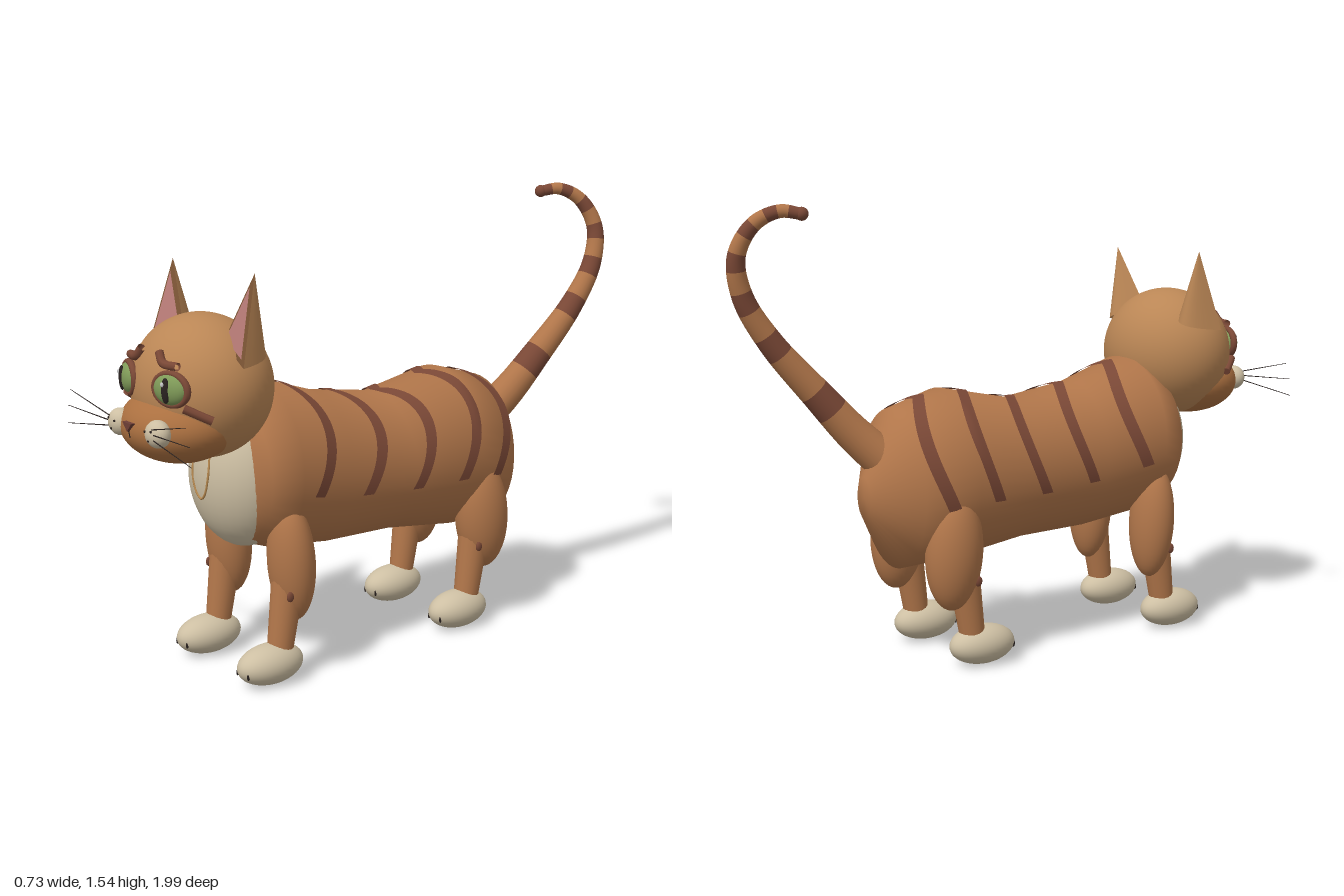
import * as THREE from 'three';

const V = (x, y, z) => new THREE.Vector3(x, y, z);
const mat = (color) => new THREE.MeshStandardMaterial({ color, side: THREE.DoubleSide });
const M = {
  fur: mat(0xb1764a), head: mat(0xba8655), muzzle: mat(0xab7040), stripe: mat(0x7a4836),
  cream: mat(0xcdbfa3), green: mat(0x7f9a58), pink: mat(0xba7d78), dark: mat(0x2a2220),
  earRim: mat(0x7d5535), white: mat(0xffffff), nose: mat(0x6e3f36), tan: mat(0xb88a50),
};

function add(parent, name, geometry, material) {
  const mesh = new THREE.Mesh(geometry, material);
  mesh.name = name;
  parent.add(mesh);
  return mesh;
}

function ellipsoid(parent, name, material, p, r, segs = 32) {
  const mesh = add(parent, name, new THREE.SphereGeometry(1, segs, Math.round(segs * 0.7)), material);
  mesh.position.set(...p);
  mesh.scale.set(...r);
  return mesh;
}

function tube(parent, name, material, points, radius, segs = 12) {
  const curve = new THREE.CatmullRomCurve3(points.map((p) => V(...p)));
  return add(parent, name, new THREE.TubeGeometry(curve, segs, radius, 8), material);
}

// Tapered rod between two points
function rod(parent, name, material, a, b, rA, rB, sides = 16) {
  const from = V(...a), to = V(...b), dir = to.clone().sub(from);
  const mesh = add(parent, name, new THREE.CylinderGeometry(rB, rA, dir.length(), sides), material);
  mesh.position.copy(from).addScaledVector(dir, 0.5);
  mesh.quaternion.setFromUnitVectors(V(0, 1, 0), dir.normalize());
  return mesh;
}

// Skin over cross-sections; rings turn counterclockwise around the direction of travel
function loft(rings, closed = true) {
  const n = rings[0].length, index = [];
  const geometry = new THREE.BufferGeometry().setFromPoints(rings.flat());
  for (let r = 0; r < rings.length - 1; r++) {
    for (let i = 0; i < (closed ? n : n - 1); i++) {
      const a = r * n + i, b = r * n + (i + 1) % n;
      index.push(a, b, b + n, a, b + n, a + n);
    }
  }
  geometry.setIndex(index);
  geometry.computeVertexNormals();
  return geometry;
}

// Torso stations: z, centre y, half width, half height
const STATIONS = [
  [-0.58, 0.58, 0, 0], [-0.58, 0.58, 0.045, 0.07], [-0.47, 0.6, 0.215, 0.27],
  [-0.28, 0.633, 0.25, 0.292], [0, 0.625, 0.235, 0.245], [0.27, 0.648, 0.222, 0.263],
  [0.5, 0.7, 0.26, 0.285], [0.6, 0.69, 0.225, 0.24], [0.65, 0.69, 0.15, 0.17], [0.67, 0.69, 0, 0],
];

function torsoPoint(z, angle, grow = 0) {
  let k = 1;
  while (k < STATIONS.length - 2 && z > STATIONS[k + 1][0]) k++;
  const a = STATIONS[k], b = STATIONS[k + 1];
  const [, cy, rx, ry] = a.map((v, i) => THREE.MathUtils.lerp(v, b[i], (z - a[0]) / (b[0] - a[0])));
  return V(Math.cos(angle) * (rx + grow), cy + Math.sin(angle) * (ry + grow), z);
}

function buildTorso(root) {
  const rings = STATIONS.map(([z, cy, rx, ry]) => Array.from({ length: 40 }, (_, i) => {
    const t = i / 40 * Math.PI * 2;
    return V(Math.cos(t) * rx, cy + Math.sin(t) * ry, z);
  }));
  add(root, 'torso', loft(rings), M.fur);

  // Zigzag stripes laid over back and flanks
  for (const z0 of [0.43, 0.21, 0, -0.2, -0.37]) {
    const rows = [-1, -0.33, 0.33, 1].map((w) => Array.from({ length: 61 }, (_, i) => {
      const s = i / 30 - 1;
      const z = z0 - 0.075 * Math.sin(Math.PI * Math.abs(s)) + w * 0.022;
      return torsoPoint(z, Math.PI / 2 + s * 1.8, 0.005);
    }));
    add(root, 'backStripe', loft(rows, false), M.stripe);
  }

  // Pale chest with a thin fur line
  ellipsoid(root, 'chestBib', M.cream, [0, 0.68, 0.56], [0.195, 0.25, 0.17]);
  const line = [[-0.04, 0.78], [-0.045, 0.7], [-0.025, 0.635], [0, 0.615], [0.025, 0.635], [0.045, 0.7], [0.04, 0.78]];
  tube(root, 'chestLine', M.tan, line.map(([x, y]) =>
    [x, y, 0.56 + 0.17 * Math.sqrt(1 - (x / 0.195) ** 2 - ((y - 0.68) / 0.25) ** 2)]), 0.004, 32);
}

function buildLeg(root, name, s, z, upperZ, upperR, kneeZ) {
  const leg = new THREE.Group();
  leg.name = name;
  root.add(leg);
  ellipsoid(leg, 'upperLeg', M.fur, [s * 0.18, 0.405, upperZ], upperR).rotation.x = 0.06;
  rod(leg, 'lowerLeg', M.fur, [s * 0.18, 0.34, kneeZ], [s * 0.18, 0.08, z - 0.035], 0.055, 0.042);
  ellipsoid(leg, 'paw', M.cream, [s * 0.18, 0.072, z], [0.075, 0.067, 0.122]);
  for (const t of [-1, 1]) {
    ellipsoid(leg, 'toeMark', M.dark, [s * 0.18 + t * 0.03, 0.06, z + 0.108], [0.003, 0.012, 0.006], 8);
  }
  ellipsoid(leg, 'legMark', M.stripe, [s * 0.235, 0.305, upperZ + upperR[2] * 0.6], [0.008, 0.018, 0.014], 10);
}

function buildEar(head, s) {
  const P = (x, y, z) => V(s * x, y, z);
  const inner = P(0.11, 1.14, 0.7), outer = P(0.27, 1.085, 0.735), tip = P(0.23, 1.365, 0.66);
  // Rounded back shell tapering to the tip
  const base = new THREE.QuadraticBezierCurve3(outer, P(0.22, 1.1, 0.5), inner).getPoints(12);
  const rings = [0, 0.33, 0.66, 1].map((k) => base.map((p) => p.clone().lerp(tip, k)));
  add(head, 'earBack', loft(rings, false), M.head);
  const face = [inner, outer, tip];
  const centre = inner.clone().add(outer).add(tip).divideScalar(3);
  const panel = (pts) => {
    const g = new THREE.BufferGeometry().setFromPoints(s > 0 ? pts : [pts[1], pts[0], pts[2]]);
    g.computeVertexNormals();
    return g;
  };
  add(head, 'earRim', panel(face), M.earRim);
  add(head, 'earInside', panel(face.map((p) => p.clone().lerp(centre, 0.24).add(V(0, 0, 0.006)))), M.pink);
}

function buildEye(head, s) {
  const eye = new THREE.Group();
  eye.name = 'eye';
  eye.position.set(s * 0.12, 1.02, 0.9);
  eye.rotation.y = s * 0.3;
  head.add(eye);
  const rim = add(eye, 'eyeRim', new THREE.TorusGeometry(0.064, 0.012, 10, 36), M.stripe);
  rim.scale.y = 0.78;
  ellipsoid(eye, 'iris', M.green, [0, 0, 0], [0.064, 0.05, 0.032]);
  ellipsoid(eye, 'pupil', M.dark, [0, 0, 0.026], [0.016, 0.04, 0.01], 16);
  ellipsoid(eye, 'glint', M.white, [-0.006, 0.02, 0.035], [0.006, 0.008, 0.004], 10);
}

function buildHead(root) {
  const head = new THREE.Group();
  head.name = 'head';
  root.add(head);
  ellipsoid(head, 'skull', M.head, [0, 0.99, 0.71], [0.248, 0.232, 0.22], 48);
  ellipsoid(head, 'muzzle', M.muzzle, [0, 0.878, 0.8], [0.205, 0.122, 0.18], 40);

  // Nose wedge and mouth lines
  const shape = new THREE.Shape([[-0.026, 0.012], [0, -0.016], [0.026, 0.012]].map((p) => new THREE.Vector2(...p)));
  const nose = add(head, 'nose', new THREE.ExtrudeGeometry(shape, { depth: 0.015, bevelEnabled: false }), M.nose);
  nose.position.set(0, 0.895, 0.974);
  rod(head, 'mouthLine', M.dark, [0, 0.882, 0.983], [0, 0.858, 0.978], 0.002, 0.002, 6);

  for (const s of [1, -1]) {
    buildEar(head, s);
    buildEye(head, s);
    tube(head, 'brow', M.stripe, [[s * 0.05, 1.125, 0.895], [s * 0.078, 1.095, 0.9], [s * 0.137, 1.09, 0.885]], 0.014);
    rod(head, 'cheekStripe', M.stripe, [s * 0.165, 0.965, 0.885], [s * 0.215, 0.925, 0.815], 0.014, 0.014, 8);
    ellipsoid(head, 'whiskerPad', M.cream, [s * 0.11, 0.885, 0.945], [0.048, 0.044, 0.038], 24);
    for (const [x, y] of [[0.09, 0.895], [0.125, 0.9], [0.11, 0.868]]) {
      ellipsoid(head, 'whiskerDot', M.dark, [s * x, y, 0.98], [0.004, 0.004, 0.004], 8);
    }
    for (const [x, y0, y1] of [[0.34, 0.905, 0.955], [0.36, 0.89, 0.9], [0.365, 0.875, 0.84]]) {
      rod(head, 'whisker', M.dark, [s * 0.12, y0, 0.975], [s * x, y1, 0.992], 0.002, 0.001, 6);
    }
  }
}

function buildTail(root) {
  const path = new THREE.CatmullRomCurve3([
    V(0, 0.68, -0.48), V(0.045, 0.79, -0.59), V(0.08, 0.92, -0.7), V(0.115, 1.1, -0.85), V(0.125, 1.25, -0.94),
    V(0.11, 1.38, -0.965), V(0.075, 1.48, -0.92), V(0.035, 1.52, -0.85), V(0, 1.512, -0.79),
  ]);
  const ring = (u) => {
    const p = path.getPointAt(u), t = path.getTangentAt(u);
    const side = V(1, 0, 0).addScaledVector(t, -t.x).normalize();
    const up = t.clone().cross(side);
    const r = THREE.MathUtils.lerp(0.07, 0.019, u ** 0.85);
    return Array.from({ length: 20 }, (_, i) => {
      const a = i / 20 * Math.PI * 2;
      return p.clone().addScaledVector(side, Math.cos(a) * r).addScaledVector(up, Math.sin(a) * r);
    });
  };
  // Alternating plain and dark lengths
  const cuts = [0, 0.23, 0.31, 0.45, 0.52, 0.6, 0.66, 0.72, 0.77, 0.82, 0.86, 0.9, 0.935, 0.965, 1];
  for (let k = 0; k < cuts.length - 1; k++) {
    const rings = Array.from({ length: 7 }, (_, i) => ring(THREE.MathUtils.lerp(cuts[k], cuts[k + 1], i / 6)));
    add(root, k % 2 ? 'tailBand' : 'tailLength', loft(rings), k % 2 ? M.stripe : M.fur);
  }
  ellipsoid(root, 'tailTip', M.stripe, [0, 1.512, -0.79], [0.022, 0.022, 0.022], 16);
}

export function createModel() {
  const root = new THREE.Group();
  root.name = 'cat';
  buildTorso(root);
  for (const s of [1, -1]) {
    buildLeg(root, 'frontLeg', s, 0.59, 0.5, [0.088, 0.205, 0.075], 0.515);
    buildLeg(root, 'hindLeg', s, -0.235, -0.345, [0.088, 0.2, 0.1], -0.31);
  }
  buildHead(root);
  buildTail(root);
  return root;
}
